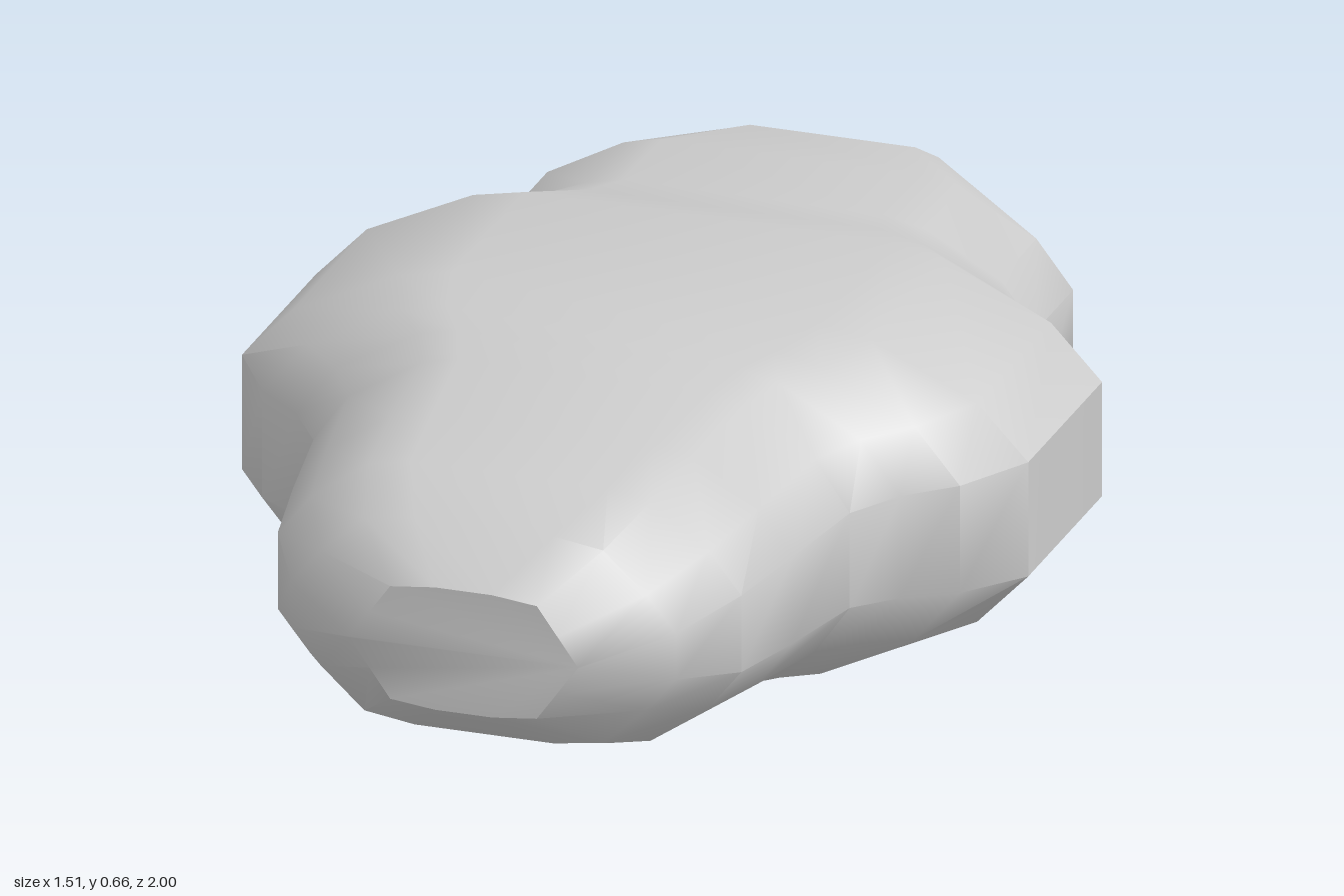
import * as THREE from 'three';
import { toCreasedNormals } from 'three/addons/utils/BufferGeometryUtils.js';

const CENTRE_Y = 0.33;

// Stations from back to front: z, half width, half height, side wall half height, nose blend
const STATIONS = [
  [-1.00, 0.34, 0.225, 0.085, 0],
  [-0.78, 0.54, 0.27, 0.085, 0],
  [-0.58, 0.54, 0.27, 0.085, 0],
  [-0.47, 0.60, 0.29, 0.095, 0],
  [-0.33, 0.755, 0.33, 0.112, 0],
  [0.07, 0.755, 0.33, 0.112, 0],
  [0.20, 0.67, 0.32, 0.105, 0],
  [0.27, 0.58, 0.307, 0.10, 0],
  [0.36, 0.515, 0.29, 0.093, 0],
  [0.57, 0.48, 0.272, 0.085, 0.1],
  [0.75, 0.445, 0.25, 0.075, 0.2],
  [0.89, 0.37, 0.203, 0.045, 0.5],
  [1.00, 0.22, 0.12, 0.001, 1],
];

// Corner of the section as fractions of half width and half height
const BODY = [[0.87, 0.65], [0.6, 0.94], [0.467, 1]];
const NOSE = [[0.82, 0.46], [0.64, 0.92], [0.25, 1]];

// Closed ring, counter-clockwise seen from the front
function ring([z, w, h, side, blend]) {
  const quarter = [[w, side]];
  BODY.forEach(([bx, by], i) => {
    const [nx, ny] = NOSE[i];
    quarter.push([w * THREE.MathUtils.lerp(bx, nx, blend), h * THREE.MathUtils.lerp(by, ny, blend)]);
  });
  const back = [...quarter].reverse();
  return [
    ...quarter,
    ...back.map(([x, y]) => [-x, y]),
    ...quarter.map(([x, y]) => [-x, -y]),
    ...back.map(([x, y]) => [x, -y]),
  ].map(([x, y]) => [x, y + CENTRE_Y, z]);
}

function loft(stations) {
  const rings = stations.map(ring);
  const n = rings[0].length;
  const positions = rings.flat(2);
  const index = [];
  // Skin between neighbouring rings
  for (let s = 0; s < rings.length - 1; s++) {
    for (let i = 0; i < n; i++) {
      const j = (i + 1) % n;
      const a = s * n + i, b = s * n + j, c = b + n, d = a + n;
      index.push(a, b, d, b, c, d);
    }
  }
  // Flat caps at both ends
  const last = (rings.length - 1) * n;
  for (let i = 1; i < n - 1; i++) {
    index.push(0, i + 1, i);
    index.push(last, last + i, last + i + 1);
  }
  const geometry = new THREE.BufferGeometry();
  geometry.setAttribute('position', new THREE.Float32BufferAttribute(positions, 3));
  geometry.setIndex(index);
  return toCreasedNormals(geometry, 0.68);
}

export function createModel() {
  const group = new THREE.Group();
  const material = new THREE.MeshStandardMaterial({ color: 0xcccccc });
  const body = new THREE.Mesh(loft(STATIONS), material);
  body.name = 'body';
  group.add(body);
  return group;
}
